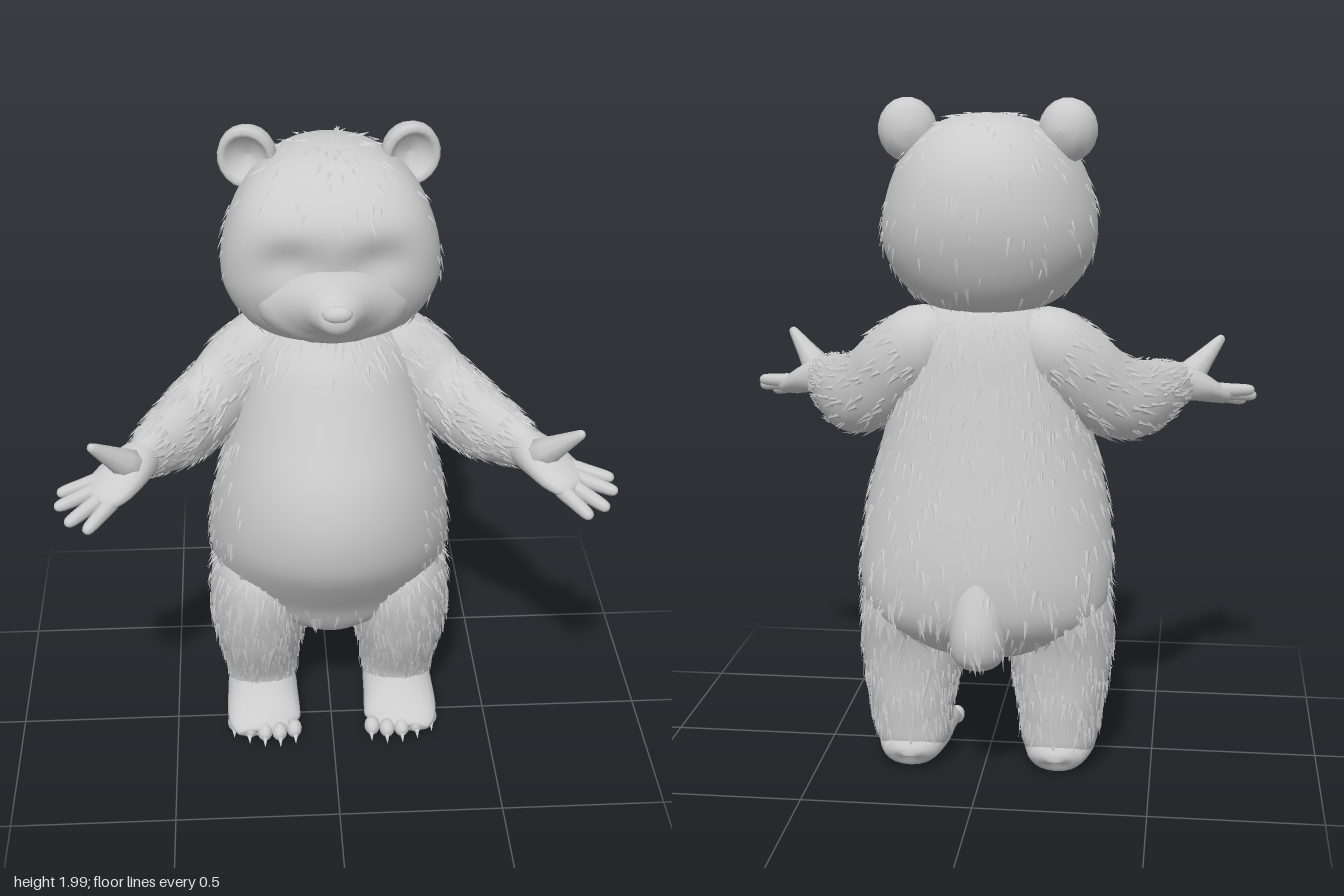
import * as THREE from 'three';

const V = (x, y, z) => new THREE.Vector3(x, y, z);
const grey = new THREE.MeshStandardMaterial({ color: 0xcccccc, side: THREE.DoubleSide });

let seed = 7;
const rnd = () => (seed = (seed * 16807) % 2147483647) / 2147483647;

// Smoothly interpolate every column of a table of cross-sections, v in 0..1
function sample(rows, v) {
  const n = rows.length - 1;
  const i = Math.min(n - 1, Math.max(0, Math.floor(v * n)));
  const t = v * n - i;
  const row = (k) => rows[Math.min(n, Math.max(0, k))];
  return rows[0].map((_, c) => {
    const [a, b, d, e] = [row(i - 1)[c], row(i)[c], row(i + 1)[c], row(i + 2)[c]];
    return b + 0.5 * t * (d - a + t * (2 * a - 5 * b + 4 * d - e + t * (3 * (b - d) + e - a)));
  });
}

// Upright volume; rows are [y, centreX, halfWidth, frontZ, backZ].
// The powers set how boxy each half is, mid where the widest line lies from back to front.
const upright = (rows, frontPower, backPower, mid) => (u, v) => {
  const [y, cx, rx, zf, zb] = sample(rows, v);
  const a = u * Math.PI * 2, front = Math.sin(a) > 0;
  const round = (c) => Math.sign(c) * Math.abs(c) ** (2 / (front ? frontPower : backPower));
  const depth = (front ? 1 - mid : mid) * Math.max(zf - zb, 0.001);
  return V(cx + Math.max(rx, 0.001) * round(Math.cos(a)), y,
    zb + mid * (zf - zb) + depth * round(Math.sin(a)));
};

// Volume along a path; rows are [x, y, z, halfWidth, halfHeight]
const limb = (rows) => (u, v) => {
  const [x, y, z, w, h] = sample(rows, v);
  const a = sample(rows, Math.max(0, v - 0.02)), b = sample(rows, Math.min(1, v + 0.02));
  const t = V(b[0] - a[0], b[1] - a[1], b[2] - a[2]).normalize();
  const side = t.clone().cross(V(0, 1, 0)).normalize();
  const up = side.clone().cross(t);
  return V(x, y, z)
    .addScaledVector(side, Math.cos(u * Math.PI * 2) * Math.max(w, 0.001))
    .addScaledVector(up, Math.sin(u * Math.PI * 2) * Math.max(h, 0.001));
};

function indexed(pos, index) {
  const g = new THREE.BufferGeometry();
  g.setAttribute('position', new THREE.Float32BufferAttribute(pos, 3));
  g.setIndex(index);
  g.computeVertexNormals();
  return g;
}

// Skin a surface function with a closed ring of n sides and m steps
function skin(surface, n = 24, m = 24) {
  const pos = [], index = [];
  for (let j = 0; j <= m; j++) {
    for (let i = 0; i < n; i++) {
      pos.push(...surface(i / n, j / m).toArray());
      if (j === m) continue;
      const a = j * n + i, b = j * n + (i + 1) % n;
      index.push(a, a + n, b, b, a + n, b + n);
    }
  }
  return indexed(pos, index);
}

// Scatter leaning tufts over a surface; flow picks the lie of the fur
function fur(surface, count, flow, v0, v1, bare = () => false, size = 0.055) {
  const pos = [];
  for (let k = 0; k < count; k++) {
    const u = rnd(), v = v0 + (v1 - v0) * rnd();
    const p = surface(u, v);
    if (bare(p)) continue;
    const dv = surface(u, v + 0.004).sub(p).normalize();
    const du = surface(u + 0.004, v).sub(p).normalize();
    const out = dv.clone().cross(du).normalize();
    const lie = dv.multiplyScalar(flow).addScaledVector(du, (rnd() - 0.5) * 0.6).normalize();
    const across = out.clone().cross(lie);
    const len = size * (0.6 + 0.7 * rnd()), w = len * 0.16;
    const tip = p.clone().addScaledVector(lie, len).addScaledVector(out, 0.009);
    const ridge = p.clone().addScaledVector(out, 0.004);
    const l = p.clone().addScaledVector(across, w), r = p.clone().addScaledVector(across, -w);
    for (const q of [r, tip, ridge, ridge, tip, l]) pos.push(q.x, q.y, q.z);
  }
  return indexed(pos, pos.slice(0, pos.length / 3).map((_, i) => i));
}

const ball = (x, y, z, rx, ry, rz) =>
  new THREE.SphereGeometry(1, 14, 10).scale(rx, ry, rz).translate(x, y, z);

function mirrored(geometry) {
  const g = geometry.clone().scale(-1, 1, 1);
  const ix = g.index.array;
  for (let i = 0; i < ix.length; i += 3) [ix[i], ix[i + 1]] = [ix[i + 1], ix[i]];
  g.computeVertexNormals();
  return g;
}

export function createModel() {
  const model = new THREE.Group();
  model.name = 'bear';
  const add = (name, geometry) => {
    const mesh = new THREE.Mesh(geometry, grey);
    mesh.name = name;
    model.add(mesh);
  };
  const pair = (name, geometry) => {
    add('left ' + name, geometry);
    add('right ' + name, mirrored(geometry));
  };

  // Torso with a bare round belly
  const torso = upright([
    [0.345, 0, 0.0, -0.08, -0.1], [0.365, 0, 0.12, 0.04, -0.24], [0.42, 0, 0.28, 0.09, -0.32],
    [0.5, 0, 0.35, 0.13, -0.385], [0.6, 0, 0.374, 0.2, -0.4], [0.7, 0, 0.374, 0.262, -0.395],
    [0.8, 0, 0.362, 0.283, -0.38], [0.9, 0, 0.342, 0.278, -0.36], [1.0, 0, 0.315, 0.25, -0.34],
    [1.1, 0, 0.29, 0.2, -0.32], [1.2, 0, 0.265, 0.15, -0.3], [1.3, 0, 0.235, 0.1, -0.28],
    [1.38, 0, 0.18, 0.04, -0.25], [1.44, 0, 0.1, 0, -0.2]], 1.9, 2, 0.42);
  add('torso', skin(torso, 40, 40));
  add('torso fur', fur(torso, 800, -1, 0.16, 0.96,
    (p) => p.z > 0 && p.y > 0.5 && Math.abs(p.x) < 0.27 && p.y < 1.27));

  // Stubby tail flowing out of the rump
  const tail = upright([
    [0.37, 0, 0.0, -0.32, -0.34], [0.378, 0, 0.05, -0.27, -0.39], [0.41, 0, 0.075, -0.27, -0.43],
    [0.46, 0, 0.082, -0.27, -0.445], [0.52, 0, 0.08, -0.27, -0.44], [0.6, 0, 0.07, -0.27, -0.415],
    [0.68, 0, 0.03, -0.27, -0.385]], 2, 2, 0.5);
  add('tail', skin(tail, 20, 16));
  add('tail fur', fur(tail, 70, -1, 0.25, 0.9, (p) => p.z > -0.35, 0.045));

  // Head, full in the cheeks, with shallow eye hollows pressed into the face
  const skull = upright([
    [1.38, 0, 0.12, 0.02, -0.2], [1.42, 0, 0.205, 0.085, -0.27], [1.48, 0, 0.268, 0.13, -0.32],
    [1.56, 0, 0.308, 0.16, -0.355], [1.64, 0, 0.314, 0.175, -0.372], [1.72, 0, 0.3, 0.185, -0.37],
    [1.8, 0, 0.27, 0.17, -0.35], [1.87, 0, 0.222, 0.115, -0.308], [1.925, 0, 0.145, 0.04, -0.245],
    [1.95, 0, 0.05, -0.05, -0.15], [1.952, 0, 0, -0.1, -0.1]], 2.5, 2.1, 0.61);
  const head = (u, v) => {
    const p = skull(u, v);
    if (p.z > 0) {
      const d = ((Math.abs(p.x) - 0.12) / 0.085) ** 2 + ((p.y - 1.69) / 0.06) ** 2;
      p.z -= 0.035 * Math.exp(-d);
    }
    return p;
  };
  add('head', skin(head, 48, 44));
  add('head fur', fur(head, 210, -1, 0.12, 0.9, (p) => p.z > 0.07 && p.y < 1.8, 0.045));

  // Muzzle and nose
  add('muzzle', skin(limb([
    [0, 1.54, 0.04, 0.24, 0.13], [0, 1.555, 0.12, 0.21, 0.12], [0, 1.577, 0.18, 0.155, 0.1],
    [0, 1.59, 0.24, 0.1, 0.075], [0, 1.594, 0.295, 0.064, 0.054], [0, 1.6, 0.33, 0.04, 0.036],
    [0, 1.602, 0.338, 0.001, 0.001]]), 20, 18));
  add('nose', ball(0, 1.613, 0.322, 0.042, 0.025, 0.024));

  // Cupped ears
  const earProfile = [[0.001, -0.06], [0.045, -0.055], [0.075, -0.03], [0.088, 0.005], [0.086, 0.035],
    [0.075, 0.047], [0.062, 0.035], [0.04, 0.008], [0.001, 0]].map(([r, h]) => new THREE.Vector2(r, h));
  const ear = new THREE.LatheGeometry(earProfile, 20).rotateX(Math.PI / 2)
    .scale(0.97, 1.05, 1).rotateY(0.2).rotateZ(-0.15).translate(0.227, 1.905, -0.12);
  pair('ear', ear);

  // Arms, bent forward and out at the elbow
  const arm = limb([
    [0.1, 1.32, -0.16, 0.06, 0.07], [0.17, 1.3, -0.155, 0.11, 0.115], [0.25, 1.235, -0.135, 0.112, 0.125],
    [0.325, 1.165, -0.1, 0.1, 0.125], [0.405, 1.115, -0.03, 0.1, 0.12], [0.457, 1.11, 0.055, 0.093, 0.11],
    [0.505, 1.115, 0.13, 0.077, 0.09], [0.545, 1.12, 0.2, 0.056, 0.066], [0.57, 1.12, 0.235, 0.04, 0.05]]);
  pair('arm', skin(arm, 24, 32));
  pair('arm fur', fur(arm, 330, 1, 0.15, 0.86));

  // Open hands, palms up, four fingers and a thumb widening into the palm
  pair('palm', skin(limb([
    [0.525, 1.12, 0.17, 0.04, 0.04], [0.56, 1.12, 0.22, 0.06, 0.057], [0.6, 1.105, 0.265, 0.076, 0.048],
    [0.645, 1.08, 0.31, 0.08, 0.036], [0.68, 1.065, 0.34, 0.065, 0.026], [0.69, 1.06, 0.348, 0.01, 0.008]]), 16, 14));
  const finger = (a, b, base, r) => {
    const at = (t, k) => [...a.map((c, i) => c + (b[i] - c) * t), k, k];
    return skin(limb([at(0, base * 0.6), at(0.15, base), at(0.5, (base + r) / 2), at(0.85, r),
      at(0.97, r * 0.65), at(1, 0.001)]), 8, 10);
  };
  [[[0.65, 1.09, 0.265], [0.79, 1.08, 0.335]],
    [[0.66, 1.08, 0.3], [0.797, 1.055, 0.37]],
    [[0.655, 1.07, 0.33], [0.765, 1.03, 0.42]],
    [[0.625, 1.07, 0.345], [0.71, 1.025, 0.455]]].forEach(([a, b], i) => {
    pair('finger ' + (i + 1), finger(a, b, 0.024, 0.018));
  });
  pair('thumb', finger([0.57, 1.115, 0.26], [0.69, 1.246, 0.358], 0.046, 0.018));

  // Legs, fading into the torso at the hip
  const leg = upright([
    [0.03, 0.22, 0.08, -0.02, -0.22], [0.08, 0.222, 0.11, 0.0, -0.25], [0.15, 0.224, 0.12, 0.005, -0.258],
    [0.22, 0.226, 0.13, 0.035, -0.265], [0.3, 0.226, 0.146, 0.07, -0.268], [0.4, 0.223, 0.157, 0.1, -0.28],
    [0.5, 0.22, 0.157, 0.118, -0.305], [0.6, 0.215, 0.137, 0.1, -0.29], [0.7, 0.2, 0.06, 0.02, -0.2]], 2, 2.2, 0.45);
  pair('leg', skin(leg, 28, 28));
  pair('leg fur', fur(leg, 520, -1, 0.22, 0.88));

  // Feet, broad at the heel, with clawed toes that step back towards the outside
  pair('foot', skin(limb([
    [0.22, 0.05, -0.258, 0.002, 0.002], [0.22, 0.06, -0.24, 0.075, 0.046], [0.222, 0.072, -0.14, 0.108, 0.065],
    [0.222, 0.074, -0.03, 0.114, 0.068], [0.221, 0.065, 0.05, 0.117, 0.055], [0.217, 0.05, 0.1, 0.112, 0.037],
    [0.21, 0.04, 0.132, 0.08, 0.022], [0.21, 0.036, 0.14, 0.002, 0.002]]), 20, 20));
  for (let i = 0; i < 5; i++) {
    const k = i - 2, x = 0.22 + k * 0.047, z = 0.136 - 0.01 * k - 0.008 * k * k;
    pair('toe ' + (i + 1), ball(x, 0.042, z, 0.025, 0.028, 0.034));
    pair('claw ' + (i + 1), new THREE.ConeGeometry(0.012, 0.045, 6)
      .rotateX(Math.PI / 2 + 0.35).translate(x + k * 0.002, 0.032, z + 0.038));
  }
  return model;
}
